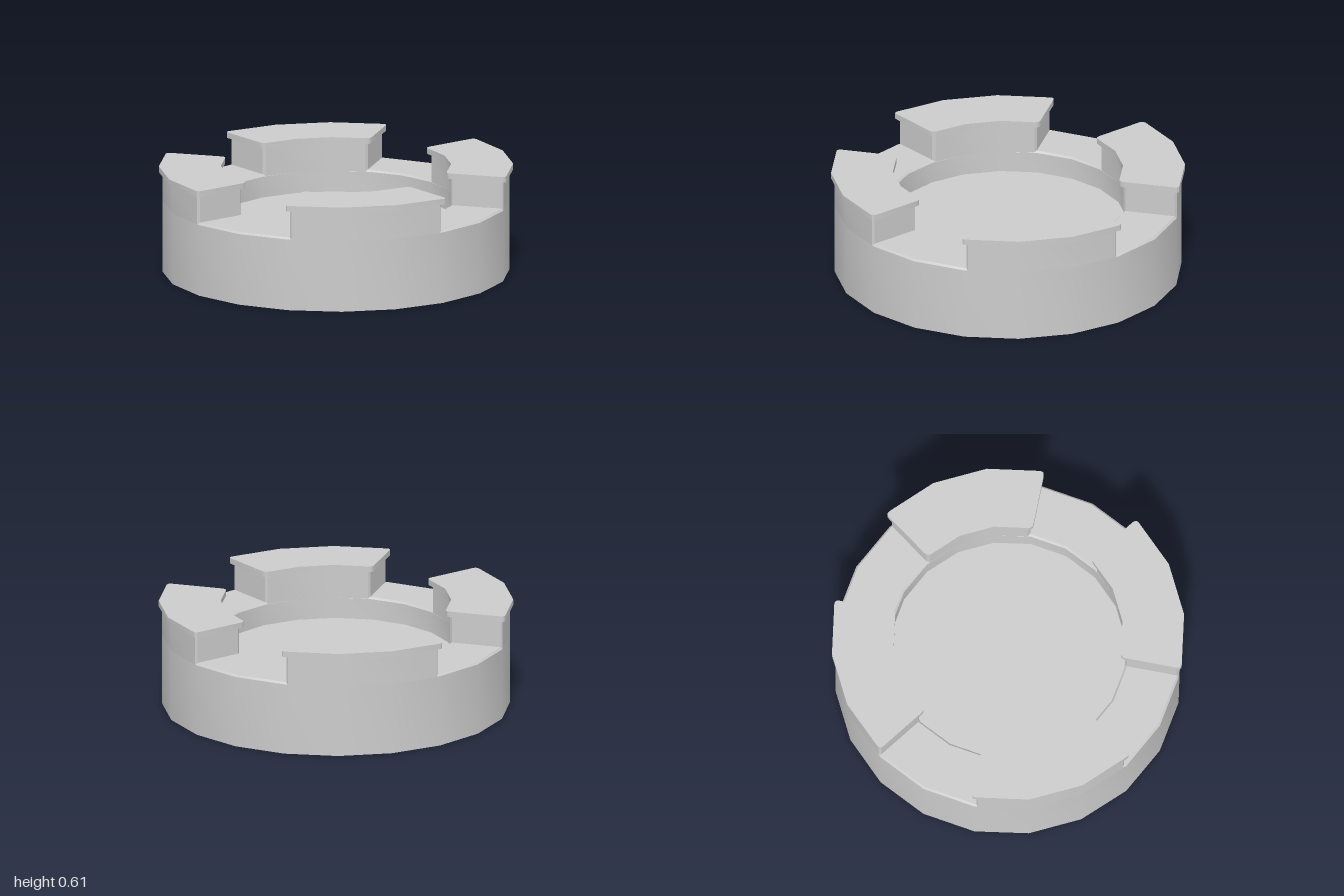
import * as THREE from 'three';
import { toCreasedNormals } from 'three/addons/utils/BufferGeometryUtils.js';

const STEP = Math.PI / 10; // the ring has 20 sides
const material = new THREE.MeshStandardMaterial({ color: 0xcccccc });

// Plan outline of a three-sided ring sector; ends moved outwards by `grow`, end corners rounded by `round`
function sectorShape(rIn, rOut, grow, round) {
  const at = (r, i) => {
    const a = i * STEP;
    const shift = i === -1 ? -grow : i === 2 ? grow : 0;
    return new THREE.Vector2(r * Math.sin(a) + shift * Math.cos(a), -r * Math.cos(a) + shift * Math.sin(a));
  };
  const ring = [-1, 0, 1, 2];
  const pts = [...ring.map((i) => at(rOut, i)), ...ring.reverse().map((i) => at(rIn, i))];
  const towards = (p, q) => p.clone().add(q.clone().sub(p).setLength(round));
  const shape = new THREE.Shape();
  pts.forEach((p, k) => {
    const isCorner = k % 4 === 0 || k % 4 === 3;
    const a = isCorner ? towards(p, pts[(k + 7) % 8]) : p;
    if (k === 0) shape.moveTo(a.x, a.y);
    else shape.lineTo(a.x, a.y);
    if (isCorner) {
      const b = towards(p, pts[(k + 1) % 8]);
      shape.quadraticCurveTo(p.x, p.y, b.x, b.y);
    }
  });
  shape.closePath();
  return shape;
}

function slab(shape, y0, y1, curveSegments) {
  const geometry = new THREE.ExtrudeGeometry(shape, { depth: y1 - y0, bevelEnabled: false, curveSegments });
  geometry.rotateX(-Math.PI / 2);
  geometry.translate(0, y0, 0);
  return toCreasedNormals(geometry, 0.6);
}

function addMesh(parent, name, geometry) {
  const mesh = new THREE.Mesh(geometry, material);
  mesh.name = name;
  parent.add(mesh);
  return mesh;
}

export function createModel() {
  const model = new THREE.Group();
  model.name = 'notchedBowl';

  // Dish: outer wall, chamfered notch floor, inner wall and recessed floor
  const profile = [
    [0, 0], [0.98, 0], [0.98, 0.41], [0.969, 0.421],
    [0.681, 0.421], [0.67, 0.41], [0.67, 0.29], [0, 0.29],
  ].map(([r, y]) => new THREE.Vector2(r, y));
  addMesh(model, 'dish', toCreasedNormals(new THREE.LatheGeometry(profile, 20), 0.6));

  // Four raised wall sections with overhanging caps, leaving four notches
  const wall = slab(sectorShape(0.67, 0.98, -0.008, 0.012), 0.41, 0.58, 1);
  const cap = slab(sectorShape(0.65, 1, 0.014, 0.028), 0.577, 0.61, 3);
  for (let i = 0; i < 4; i++) {
    const section = new THREE.Group();
    section.name = 'rimSection' + (i + 1);
    section.rotation.y = (i * Math.PI) / 2;
    addMesh(section, 'raisedWall', wall);
    addMesh(section, 'rimCap', cap);
    model.add(section);
  }
  return model;
}
